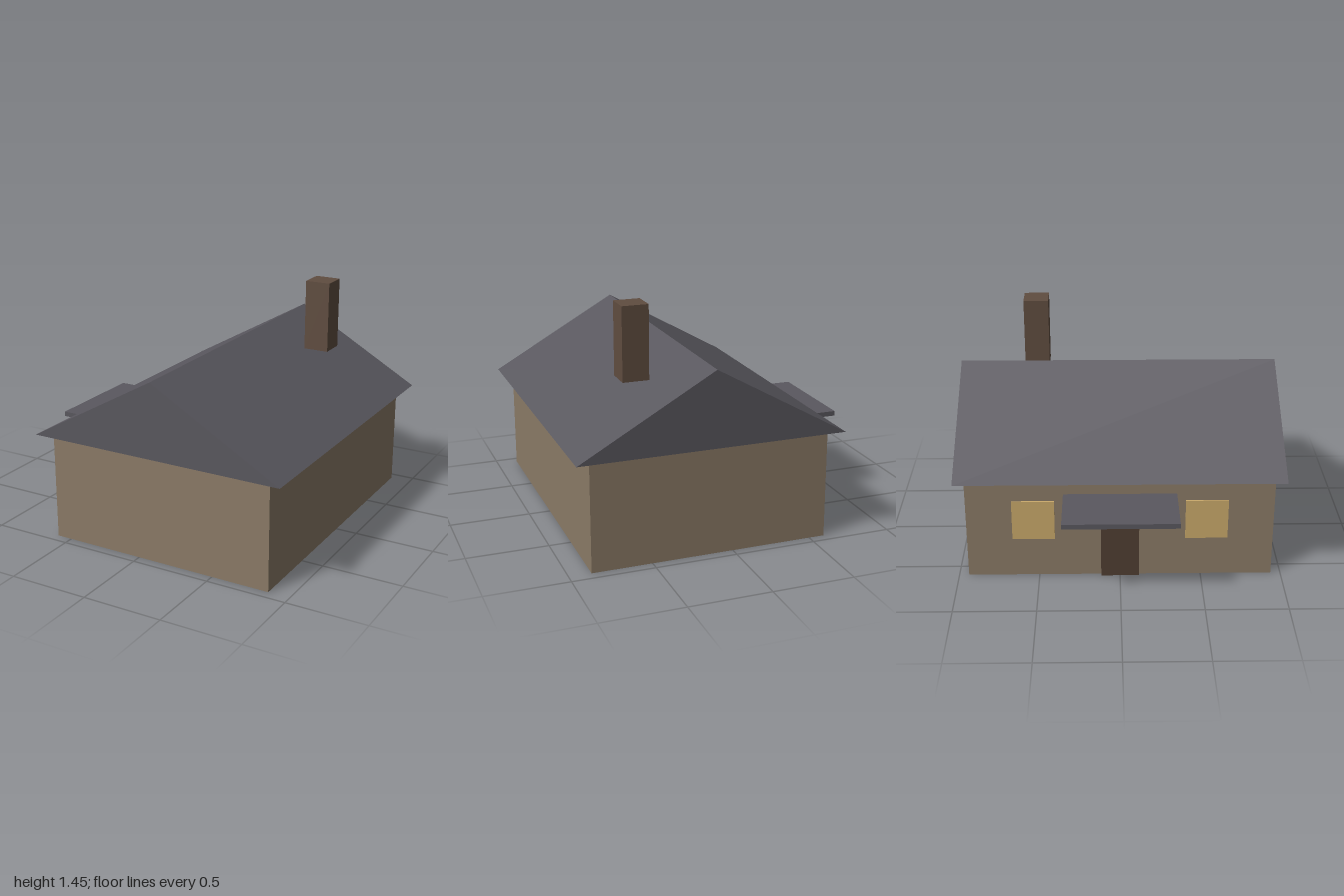
import * as THREE from 'three';

const material = (name, color) => {
  const m = new THREE.MeshStandardMaterial({ color });
  m.name = name;
  return m;
};

export function createModel() {
  const house = new THREE.Group();
  house.name = 'house';

  const wallPaint = material('tan wall', 0x8b7b67);
  const slate = material('grey slate', 0x5a585f);
  const brick = material('brown brick', 0x604d40);
  const wood = material('dark wood', 0x503f33);
  const glass = material('warm glass', 0xcbaa6b);

  // Box given by its lower and upper corners
  const box = (name, mat, [x0, y0, z0], [x1, y1, z1]) => {
    const mesh = new THREE.Mesh(new THREE.BoxGeometry(x1 - x0, y1 - y0, z1 - z0), mat);
    mesh.position.set((x0 + x1) / 2, (y0 + y1) / 2, (z0 + z1) / 2);
    mesh.name = name;
    house.add(mesh);
  };

  const wallX = -0.597; // entrance wall
  const eaves = 0.675;

  box('walls', wallPaint, [wallX, 0, -0.94], [0.866, eaves, 0.94]);

  // Gabled roof: a solid triangular prism along z
  const gable = new THREE.Shape([
    new THREE.Vector2(-0.685, eaves),
    new THREE.Vector2(0.955, eaves),
    new THREE.Vector2(0.135, 1.14),
  ]);
  const roofGeometry = new THREE.ExtrudeGeometry(gable, { depth: 2, bevelEnabled: false });
  roofGeometry.translate(0, 0, -1);
  const roof = new THREE.Mesh(roofGeometry, slate);
  roof.name = 'roof';
  house.add(roof);

  box('chimney', brick, [0.4, 0.998, -0.612], [0.562, 1.448, -0.452]);

  // Entrance side: canopy, door and a window either side
  box('canopy', slate, [-0.962, 0.535, -0.345], [wallX, 0.566, 0.345]);
  box('door', wood, [wallX - 0.02, 0, -0.117], [wallX, 0.47, 0.117]);
  for (const [name, z] of [['backWindow', -0.53], ['frontWindow', 0.53]]) {
    box(name, glass, [wallX - 0.0095, 0.26, z - 0.13], [wallX, 0.52, z + 0.13]);
  }

  return house;
}
